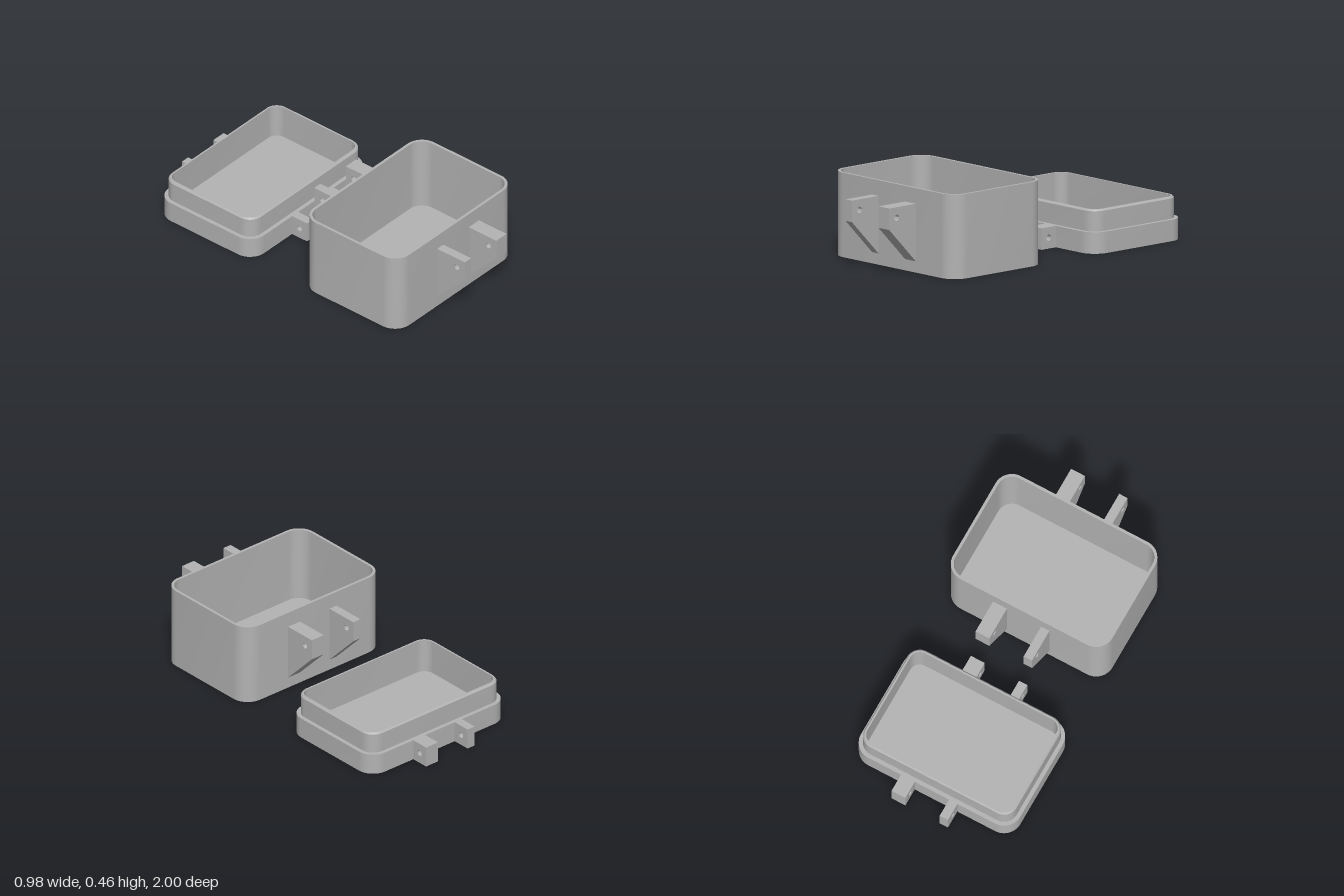
import * as THREE from 'three';
import { toCreasedNormals } from 'three/addons/utils/BufferGeometryUtils.js';

const HX = 0.49, HZ = 0.337, RADIUS = 0.1, CORNER_STEPS = 12;

// Rounded-rectangle outline, shrunk by an inset, as [x, z] points
function outline(inset) {
  const r = RADIUS - inset, points = [];
  const corners = [[1, 1], [-1, 1], [-1, -1], [1, -1]];
  corners.forEach(([sx, sz], c) => {
    for (let i = 0; i <= CORNER_STEPS; i++) {
      const a = (c + i / CORNER_STEPS) * Math.PI / 2;
      points.push([sx * (HX - RADIUS) + r * Math.cos(a), sz * (HZ - RADIUS) + r * Math.sin(a)]);
    }
  });
  return points;
}

// Closed tray: joins outlines along a wall profile of [inset, y], from underside to inner floor
function trayGeometry(profile) {
  const positions = [];
  const rings = profile.map(([inset, y]) => outline(inset).map(([x, z]) => [x, y, z]));
  const n = rings[0].length;
  const first = [0, profile[0][1], 0], last = [0, profile[profile.length - 1][1], 0];
  for (let i = 0; i < n; i++) {
    const j = (i + 1) % n;
    positions.push(...first, ...rings[0][i], ...rings[0][j]);
    for (let k = 0; k < rings.length - 1; k++) {
      const a = rings[k], b = rings[k + 1];
      positions.push(...a[i], ...b[i], ...a[j], ...b[i], ...b[j], ...a[j]);
    }
    const end = rings[rings.length - 1];
    positions.push(...end[i], ...last, ...end[j]);
  }
  const geometry = new THREE.BufferGeometry();
  geometry.setAttribute('position', new THREE.Float32BufferAttribute(positions, 3));
  return toCreasedNormals(geometry, 0.5);
}

// Drilled lug: side profile of [distance from wall, y], extruded to its width
function lugGeometry(points, hole, width) {
  const shape = new THREE.Shape(points.map(([d, y]) => new THREE.Vector2(d, y)));
  const pinHole = new THREE.Path();
  pinHole.absarc(hole[0], hole[1], 0.017, 0, Math.PI * 2, true);
  shape.holes.push(pinHole);
  const geometry = new THREE.ExtrudeGeometry(shape, { depth: width, bevelEnabled: false, curveSegments: 20 });
  geometry.translate(0, 0, -width / 2);
  return toCreasedNormals(geometry, 0.5);
}

export function createModel() {
  const model = new THREE.Group();
  model.name = 'hingedBox';
  const grey = new THREE.MeshStandardMaterial({ color: 0xb3b3b3 });
  grey.name = 'grey plastic';

  // One narrow and one wide lug on both long sides of a tray
  function addLugs(group, name, points, hole) {
    for (const [x, width, kind] of [[-0.1325, 0.051, 'Narrow'], [0.1465, 0.085, 'Wide']]) {
      for (const side of [1, -1]) {
        const lug = new THREE.Mesh(lugGeometry(points, hole, width), grey);
        lug.name = name + kind + (side > 0 ? 'Front' : 'Back');
        lug.rotation.y = -side * Math.PI / 2;
        lug.position.set(x, 0, side * HZ);
        group.add(lug);
      }
    }
  }

  // Deep box with thin walls
  const box = new THREE.Group();
  box.name = 'box';
  box.position.z = 0.468;
  const boxBody = new THREE.Mesh(trayGeometry([
    [0, 0], [0, 0.464], [0.016, 0.464], [0.016, 0.04],
  ]), grey);
  boxBody.name = 'boxBody';
  box.add(boxBody);
  addLugs(box, 'boxLug',
    [[-0.008, 0.062], [0, 0.062], [0.195, 0.26], [0.195, 0.378], [-0.008, 0.378]], [0.139, 0.32]);
  model.add(box);

  // Shallow lid, upside down, with a stepped and bevelled inner rim
  const lid = new THREE.Group();
  lid.name = 'lid';
  lid.position.z = -0.558;
  const lidBody = new THREE.Mesh(trayGeometry([
    [0, 0], [0, 0.118], [0.023, 0.118], [0.023, 0.229], [0.031, 0.238],
    [0.041, 0.238], [0.041, 0.045],
  ]), grey);
  lidBody.name = 'lidBody';
  lid.add(lidBody);
  addLugs(lid, 'lidLug',
    [[-0.008, 0], [0.105, 0], [0.105, 0.118], [-0.008, 0.118]], [0.052, 0.06]);
  model.add(lid);

  return model;
}
